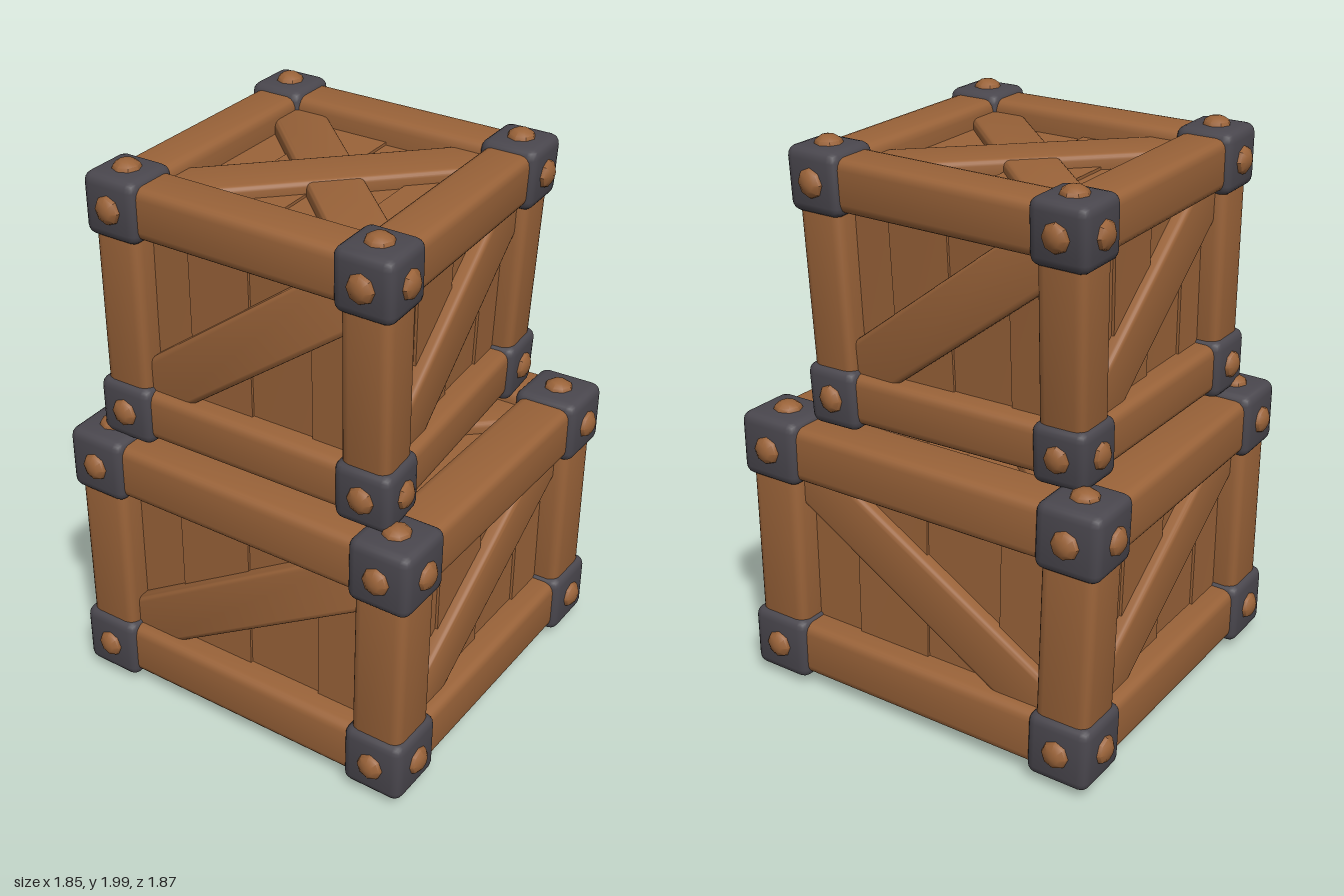
import * as THREE from 'three';
import { toCreasedNormals } from 'three/addons/utils/BufferGeometryUtils.js';
import { RoundedBoxGeometry } from 'three/addons/geometries/RoundedBoxGeometry.js';

const V = (x, y, z) => new THREE.Vector3(x, y, z);

// Sides of a crate: outward normal, up direction, brace slopes (1 rises to the right)
const sides = (backSlope) => [
  ['front', V(0, 0, 1), V(0, 1, 0), [1]],
  ['back', V(0, 0, -1), V(0, 1, 0), [backSlope]],
  ['left', V(1, 0, 0), V(0, 1, 0), [1]],
  ['right', V(-1, 0, 0), V(0, 1, 0), [1]],
  ['top', V(0, 1, 0), V(0, 0, -1), [1, -1]],
  ['bottom', V(0, -1, 0), V(0, 0, 1), [1, -1]],
];

// One crate, built square and then bent so its corners meet the given points.
// Corners run (-x,+z), (-x,-z), (+x,-z), (+x,+z).
function makeCrate(name, half, cap, bottomCorners, topCorners, backSlope, mats) {
  const crate = new THREE.Group();
  crate.name = name;
  const signs = [[-1, 1], [-1, -1], [1, -1], [1, 1]];

  const bend = (p) => {
    const u = p.x / half.x, v = p.y / half.y, w = p.z / half.z;
    const out = V(0, 0, 0);
    signs.forEach(([sx, sz], i) => {
      const k = (1 + sx * u) * (1 + sz * w) / 8;
      out.addScaledVector(bottomCorners[i], k * (1 - v));
      out.addScaledVector(topCorners[i], k * (1 + v));
    });
    return out;
  };

  const add = (part, geometry, matrix, material) => {
    geometry.applyMatrix4(matrix);
    const pos = geometry.attributes.position;
    for (let i = 0; i < pos.count; i++) {
      const p = bend(V(0, 0, 0).fromBufferAttribute(pos, i));
      pos.setXYZ(i, p.x, p.y, p.z);
    }
    const mesh = new THREE.Mesh(toCreasedNormals(geometry, 0.75), material);
    mesh.name = part;
    crate.add(mesh);
  };
  const at = (p) => new THREE.Matrix4().setPosition(p);

  // Frame beams: four along each axis
  const beam = cap - 0.018;
  for (const axis of ['x', 'y', 'z']) {
    const [a, b] = ['x', 'y', 'z'].filter((k) => k !== axis);
    for (const sa of [-1, 1]) for (const sb of [-1, 1]) {
      const size = V(2 * beam, 2 * beam, 2 * beam);
      size[axis] = 2 * half[axis];
      const p = V(0, 0, 0);
      p[a] = sa * (half[a] - 0.002);
      p[b] = sb * (half[b] - 0.002);
      add(axis === 'y' ? 'cornerPost' : 'frameBeam',
        new RoundedBoxGeometry(size.x, size.y, size.z, 2, 0.035), at(p), mats.wood);
    }
  }

  // Metal corner caps, each with three domed rivets
  for (const [sx, sz] of signs) for (const sy of [-1, 1]) {
    const corner = V(sx, sy, sz).multiply(half);
    add('cornerCap', new RoundedBoxGeometry(2 * cap, 2 * cap, 2 * cap, 2, 0.035), at(corner), mats.metal);
    for (const n of [V(sx, 0, 0), V(0, sy, 0), V(0, 0, sz)]) {
      const m = new THREE.Matrix4().makeRotationFromQuaternion(
        new THREE.Quaternion().setFromUnitVectors(V(0, 1, 0), n));
      m.setPosition(corner.clone().addScaledVector(n, cap - 0.005));
      add('rivet', new THREE.SphereGeometry(0.052, 8, 6).scale(1, 0.65, 1), m, mats.wood);
    }
  }

  // Planked panels with diagonal braces
  for (const [side, n, up, slopes] of sides(backSlope)) {
    const right = up.clone().cross(n);
    const w = Math.abs(right.dot(half)), h = Math.abs(up.dot(half)), d = Math.abs(n.dot(half));
    const face = new THREE.Matrix4().makeBasis(right, up, n);
    const planks = 4;
    for (let i = 0; i < planks; i++) {
      const local = at(V((i + 0.5) * 2 * w / planks - w, 0, d - 0.02 + 0.01 * (i % 2)));
      add(side + 'Plank', new THREE.BoxGeometry(2 * w / planks, 2 * h, 0.04),
        face.clone().multiply(local), mats.wood);
    }
    slopes.forEach((s, i) => {
      const local = new THREE.Matrix4().makeRotationZ(s * Math.atan2(h - 0.08, w - 0.08));
      local.setPosition(0, 0, d + 0.012 - 0.006 * i);
      add(side + 'Brace', new RoundedBoxGeometry(2 * Math.hypot(w, h) - 0.2, 0.2, 0.08, 2, 0.02),
        face.clone().multiply(local), mats.wood);
    });
  }
  return crate;
}

export function createModel() {
  const mats = {
    wood: new THREE.MeshStandardMaterial({ color: 0x9a6339 }),
    metal: new THREE.MeshStandardMaterial({ color: 0x4a474e }),
  };
  mats.wood.name = 'wood';
  mats.metal.name = 'dark metal';

  const model = new THREE.Group();
  model.name = 'stackedCrates';
  model.add(
    makeCrate('lowerCrate', V(0.585, 0.383, 0.55), 0.117,
      [V(-0.78, 0.15, 0.13), V(-0.2, 0.15, -0.78), V(0.78, 0.15, -0.13), V(0.16, 0.15, 0.78)],
      [V(-0.78, 0.915, 0.13), V(-0.22, 0.915, -0.78), V(0.78, 0.915, -0.12), V(0.17, 0.915, 0.79)],
      -1, mats),
    makeCrate('upperCrate', V(0.48, 0.37, 0.47), 0.108,
      [V(-0.67, 1.125, 0.13), V(-0.19, 1.125, -0.63), V(0.56, 1.125, -0.16), V(0.11, 1.125, 0.66)],
      [V(-0.67, 1.86, 0.13), V(-0.18, 1.86, -0.7), V(0.59, 1.86, -0.14), V(0.11, 1.86, 0.69)],
      1, mats),
  );
  return model;
}
